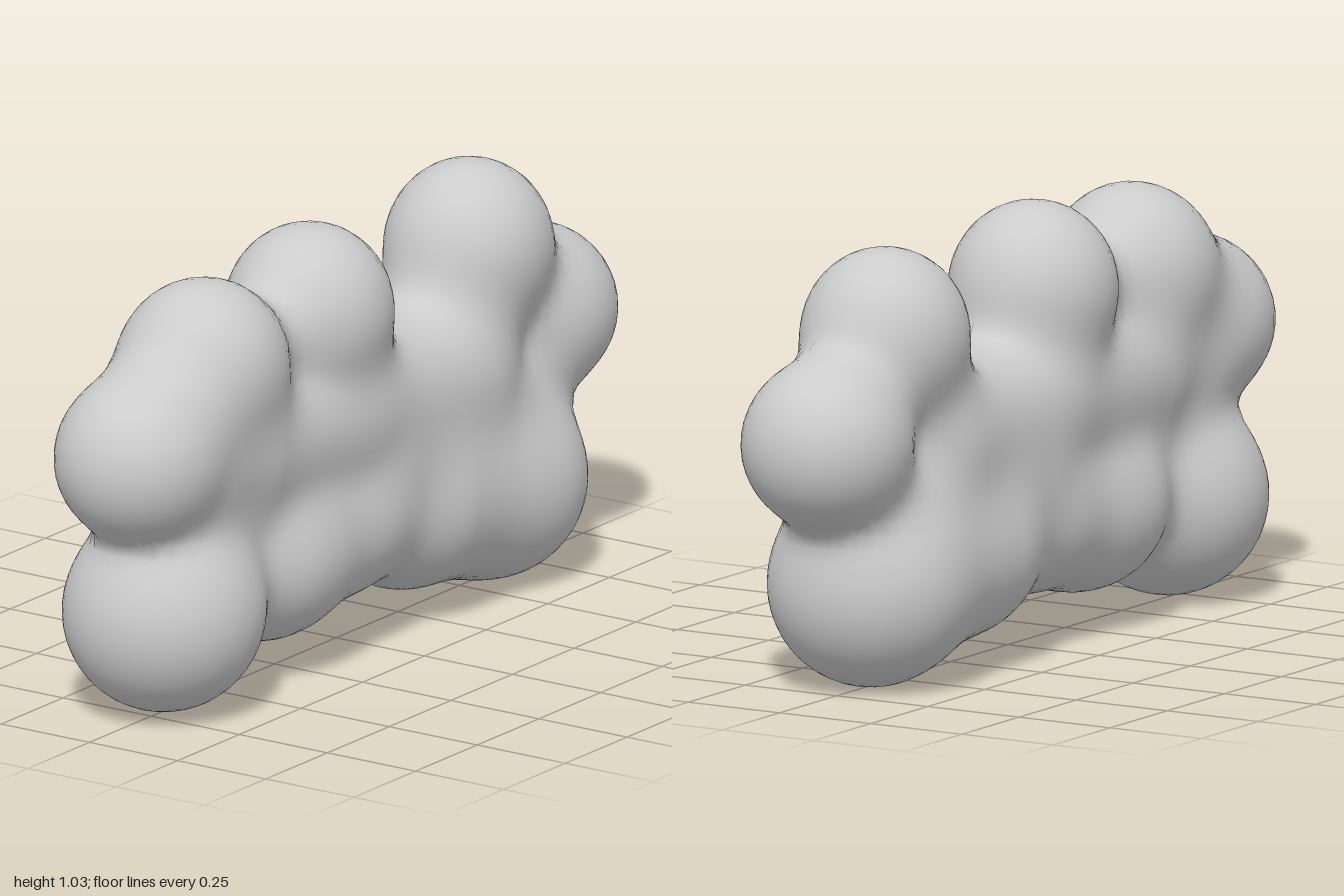
import * as THREE from 'three';

// Lobes and necks as capsules in the x = 0 plane: [z1, y1, z2, y2, radius]
const LOBES = [
  [0.70, 0.245, 0.70, 0.245, 0.236],    // front foot
  [0.812, 0.64, 0.812, 0.64, 0.186],    // front nose
  [0.535, 0.818, 0.535, 0.818, 0.185],  // front top
  [0.11, 0.845, 0.11, 0.845, 0.188],    // middle top
  [-0.54, 0.838, -0.54, 0.838, 0.188],  // rear top
  [-0.805, 0.605, -0.805, 0.605, 0.192], // rear nose
  [-0.60, 0.240, -0.60, 0.240, 0.222],  // rear foot
  [-0.60, 0.245, -0.27, 0.275, 0.212],  // rear belly
  [0.31, 0.285, 0.29, 0.285, 0.188],    // front belly
  [0.30, 0.29, 0.05, 0.305, 0.172],
  [0.05, 0.305, -0.25, 0.30, 0.155],    // belly bridge
  [0.45, 0.58, -0.40, 0.555, 0.168],    // trunk
  [0.55, 0.44, -0.15, 0.43, 0.110],     // web between trunk and belly
  [-0.08, 0.43, -0.50, 0.42, 0.160],
  [0.76, 0.67, 0.59, 0.78, 0.160],      // front nose to front top
  [0.50, 0.80, 0.15, 0.82, 0.085],      // front top to middle top
  [0.65, 0.57, 0.50, 0.68, 0.145],      // front shoulder
  [0.65, 0.55, 0.68, 0.38, 0.120],      // front shoulder to foot
  [0.10, 0.78, 0.05, 0.62, 0.155],      // middle neck
  [-0.40, 0.58, -0.51, 0.78, 0.150],    // rear neck
  [-0.62, 0.75, -0.74, 0.66, 0.115],    // rear top to rear nose
  [-0.74, 0.56, -0.62, 0.36, 0.130],    // rear nose to foot
  [0.42, 0.30, 0.58, 0.28, 0.110],      // front foot to belly
];
const BLEND = 0.034;

// Smoothly blended distance to all lobes; negative inside
function field(x, y, z) {
  let sum = 0;
  for (const [z1, y1, z2, y2, r] of LOBES) {
    const dz = z2 - z1, dy = y2 - y1, len = dz * dz + dy * dy;
    const t = len ? Math.min(1, Math.max(0, ((z - z1) * dz + (y - y1) * dy) / len)) : 0;
    const d = Math.hypot(x, y - y1 - t * dy, z - z1 - t * dz) - r;
    sum += Math.exp(-d / BLEND);
  }
  return -BLEND * Math.log(sum);
}

function gradient(p) {
  const e = 0.002;
  return new THREE.Vector3(
    field(p.x + e, p.y, p.z) - field(p.x - e, p.y, p.z),
    field(p.x, p.y + e, p.z) - field(p.x, p.y - e, p.z),
    field(p.x, p.y, p.z + e) - field(p.x, p.y, p.z - e)
  ).divideScalar(2 * e);
}

// Skin the field: one vertex per crossed cell, one quad per crossed grid edge
function skin(min, cell, n) {
  const step = [1, n[0], n[0] * n[1]];
  const values = new Float32Array(n[0] * n[1] * n[2]).fill(1);
  const each = (fn) => {
    for (let k = 0; k < n[2] - 1; k++)
      for (let j = 0; j < n[1] - 1; j++)
        for (let i = 0; i < n[0] - 1; i++) fn(i, j, k, i + j * step[1] + k * step[2]);
  };
  each((i, j, k, id) => {
    values[id] = field(min[0] + i * cell, min[1] + j * cell, min[2] + k * cell);
  });

  const positions = [], normals = [], index = [];
  const vertexOf = new Map();
  each((i, j, k, id) => {
    let inside = 0;
    for (let c = 0; c < 8; c++)
      if (values[id + (c & 1) + ((c >> 1) & 1) * step[1] + (c >> 2) * step[2]] < 0) inside++;
    if (inside === 0 || inside === 8) return;
    const p = new THREE.Vector3(i + 0.5, j + 0.5, k + 0.5).multiplyScalar(cell);
    p.add(new THREE.Vector3(...min));
    // Slide the cell centre onto the surface
    for (let s = 0; s < 4; s++) {
      const g = gradient(p);
      p.addScaledVector(g, -field(p.x, p.y, p.z) / Math.max(g.lengthSq(), 0.3));
    }
    vertexOf.set(id, positions.length / 3);
    positions.push(p.x, p.y, p.z);
    normals.push(...gradient(p).normalize().toArray());
  });

  each((i, j, k, id) => {
    for (let a = 0; a < 3; a++) {
      const inA = values[id] < 0, inB = values[id + step[a]] < 0;
      if (inA === inB) continue;
      const b = step[(a + 1) % 3], c = step[(a + 2) % 3];
      const q = [id - b - c, id - c, id, id - b].map((v) => vertexOf.get(v));
      if (inB) q.reverse();
      index.push(q[0], q[1], q[2], q[0], q[2], q[3]);
    }
  });

  const geometry = new THREE.BufferGeometry();
  geometry.setAttribute('position', new THREE.Float32BufferAttribute(positions, 3));
  geometry.setAttribute('normal', new THREE.Float32BufferAttribute(normals, 3));
  geometry.setIndex(index);
  return geometry;
}

export function createModel() {
  const group = new THREE.Group();
  group.name = 'blobModel';
  const geometry = skin([-0.315, -0.075, -1.095], 0.03, [23, 42, 75]);
  const body = new THREE.Mesh(geometry, new THREE.MeshStandardMaterial({ color: 0xcccccc }));
  body.name = 'lobedBody';
  group.add(body);
  return group;
}
